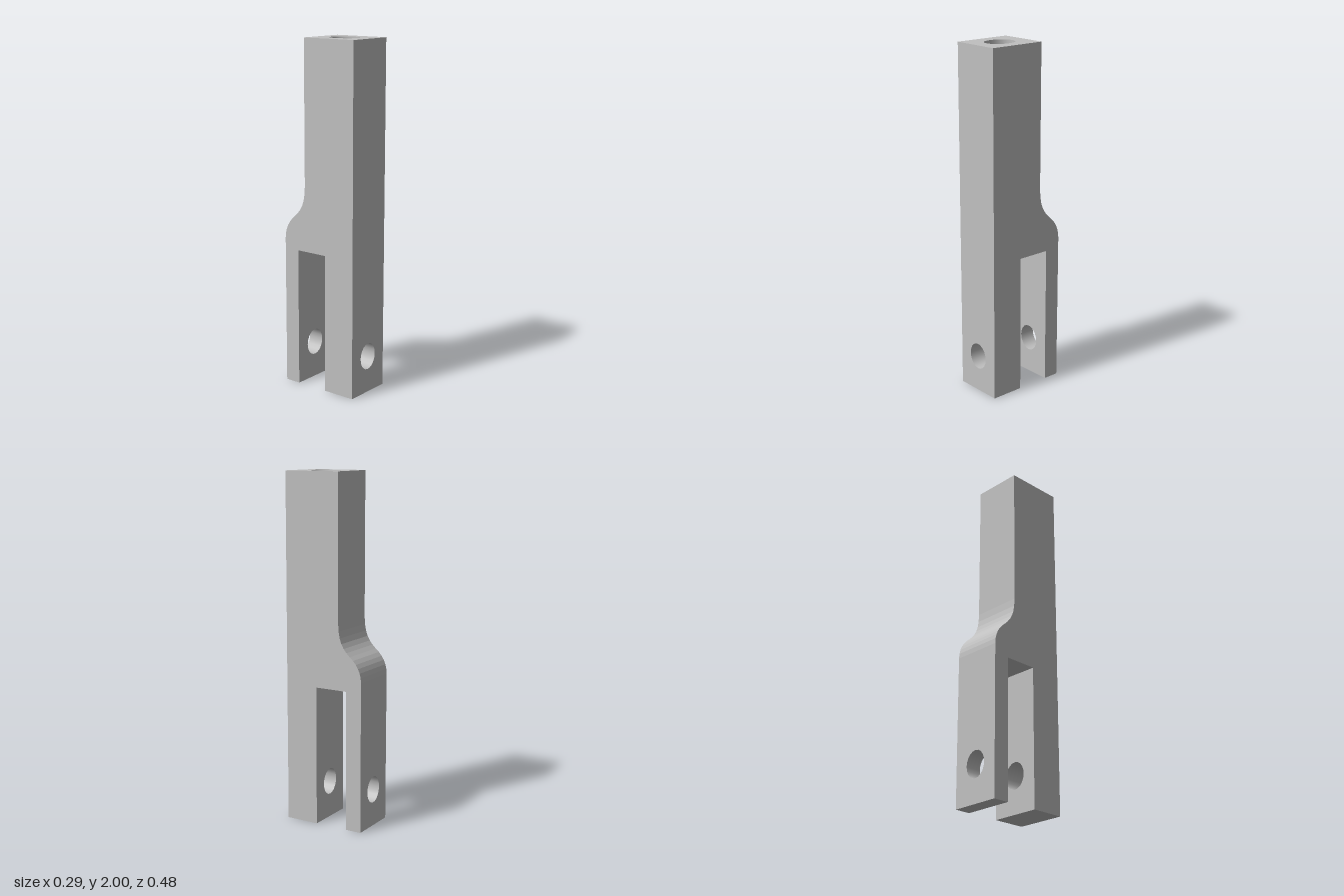
import * as THREE from 'three';

const SIDES = 20;
const HALF = 0.145;               // half width in x
const FRONT = 0.242, BACK = -0.242, SHAFT_BACK = -0.096;
const SLOT_FRONT = 0.047, SLOT_BACK = -0.148, SLOT_TOP = 0.803;
const PIN = { y: 0.214, rx: 0.067, ry: 0.077 };
const BORE = { z: 0.073, rx: 0.076, rz: 0.089, depth: 0.6 };

export function createModel() {
  const group = new THREE.Group();
  const grey = new THREE.MeshStandardMaterial({ color: 0xc0c0c0, side: THREE.DoubleSide });
  grey.name = 'steel grey';

  const add = (name, geometry) => {
    const mesh = new THREE.Mesh(geometry, grey);
    mesh.name = name;
    group.add(mesh);
    return mesh;
  };

  // Rectangle from y0 to y1 with an elliptical hole
  const panel = (y0, y1, cy, rx, ry) => {
    const v = (x, y) => new THREE.Vector2(x, y);
    const shape = new THREE.Shape([v(-HALF, y0), v(HALF, y0), v(HALF, y1), v(-HALF, y1)]);
    const rim = [];
    for (let i = 0; i < SIDES; i++) {
      const a = -i / SIDES * Math.PI * 2;
      rim.push(v(rx * Math.cos(a), cy + ry * Math.sin(a)));
    }
    shape.holes.push(new THREE.Path(rim));
    return new THREE.ShapeGeometry(shape);
  };

  // Side outline in (z, y), with the S-shaped shoulder at the back
  const outline = new THREE.Shape();
  outline.moveTo(FRONT, 0);
  outline.lineTo(FRONT, 2);
  outline.lineTo(SHAFT_BACK, 2);
  outline.lineTo(SHAFT_BACK, 1.18);
  outline.bezierCurveTo(-0.097, 1.08, -0.125, 1.04, -0.17, 1.0);
  outline.bezierCurveTo(-0.215, 0.965, BACK, 0.92, BACK, 0.86);
  outline.lineTo(BACK, 0);
  outline.lineTo(SLOT_BACK, 0);
  outline.lineTo(SLOT_BACK, SLOT_TOP);
  outline.lineTo(SLOT_FRONT, SLOT_TOP);
  outline.lineTo(SLOT_FRONT, 0);
  outline.closePath();

  // Side walls: shape x runs along z
  for (const s of [-1, 1]) {
    const g = new THREE.ShapeGeometry(outline, 6);
    if (s > 0) {
      g.rotateY(-Math.PI / 2);
      g.index.array.reverse();    // face +x
      g.computeVertexNormals();
    } else g.rotateY(-Math.PI / 2);
    g.translate(s * HALF, 0, 0);
    add(s > 0 ? 'leftWall' : 'rightWall', g);
  }

  // Plain faces across the width, one for each outline step without a hole
  const pts = outline.getPoints(6);
  for (let i = 0; i < pts.length - 1; i++) {
    const a = pts[i], b = pts[i + 1];
    const dz = b.x - a.x, dy = b.y - a.y;
    const len = Math.hypot(dz, dy);
    const pierced = (Math.abs(dz) < 1e-6 && Math.min(a.y, b.y) < 0.1) || (a.y === 2 && b.y === 2);
    if (len < 1e-6 || pierced) continue;
    const g = new THREE.PlaneGeometry(HALF * 2, len);
    g.rotateX(Math.atan2(dz, dy));
    g.translate(0, (a.y + b.y) / 2, (a.x + b.x) / 2);
    add('edgeFace', g);
  }
  const bottom = new THREE.PlaneGeometry(HALF * 2, FRONT - SLOT_FRONT).rotateX(Math.PI / 2);
  add('frontLegBottom', bottom.translate(0, 0, (FRONT + SLOT_FRONT) / 2));

  // Drilled faces of both legs
  const drilled = [
    ['frontFace', FRONT, 2, false], ['frontLegInside', SLOT_FRONT, SLOT_TOP, true],
    ['backLegInside', SLOT_BACK, SLOT_TOP, false], ['backFace', BACK, 0.86, true],
  ];
  for (const [name, z, top, backward] of drilled) {
    const g = panel(0, top, PIN.y, PIN.rx, PIN.ry);
    if (backward) g.rotateY(Math.PI);
    add(name, g.translate(0, 0, z));
  }

  // Pin holes through the legs
  const tube = (rx, rz, h) => new THREE.CylinderGeometry(1, 1, h, SIDES, 1, true).scale(rx, 1, rz);
  for (const [name, z0, z1] of [['frontPinHole', SLOT_FRONT, FRONT], ['backPinHole', BACK, SLOT_BACK]]) {
    const g = tube(PIN.rx, PIN.ry, z1 - z0).rotateX(Math.PI / 2);
    add(name, g.translate(0, PIN.y, (z0 + z1) / 2));
  }

  // Top face with its blind bore
  add('topFace', panel(-FRONT, -SHAFT_BACK, -BORE.z, BORE.rx, BORE.rz)
    .rotateX(-Math.PI / 2).translate(0, 2, 0));
  add('boreWall', tube(BORE.rx, BORE.rz, BORE.depth).translate(0, 2 - BORE.depth / 2, BORE.z));
  add('boreFloor', new THREE.CircleGeometry(1, SIDES).scale(BORE.rx, BORE.rz, 1)
    .rotateX(-Math.PI / 2).translate(0, 2 - BORE.depth, BORE.z));

  return group;
}
